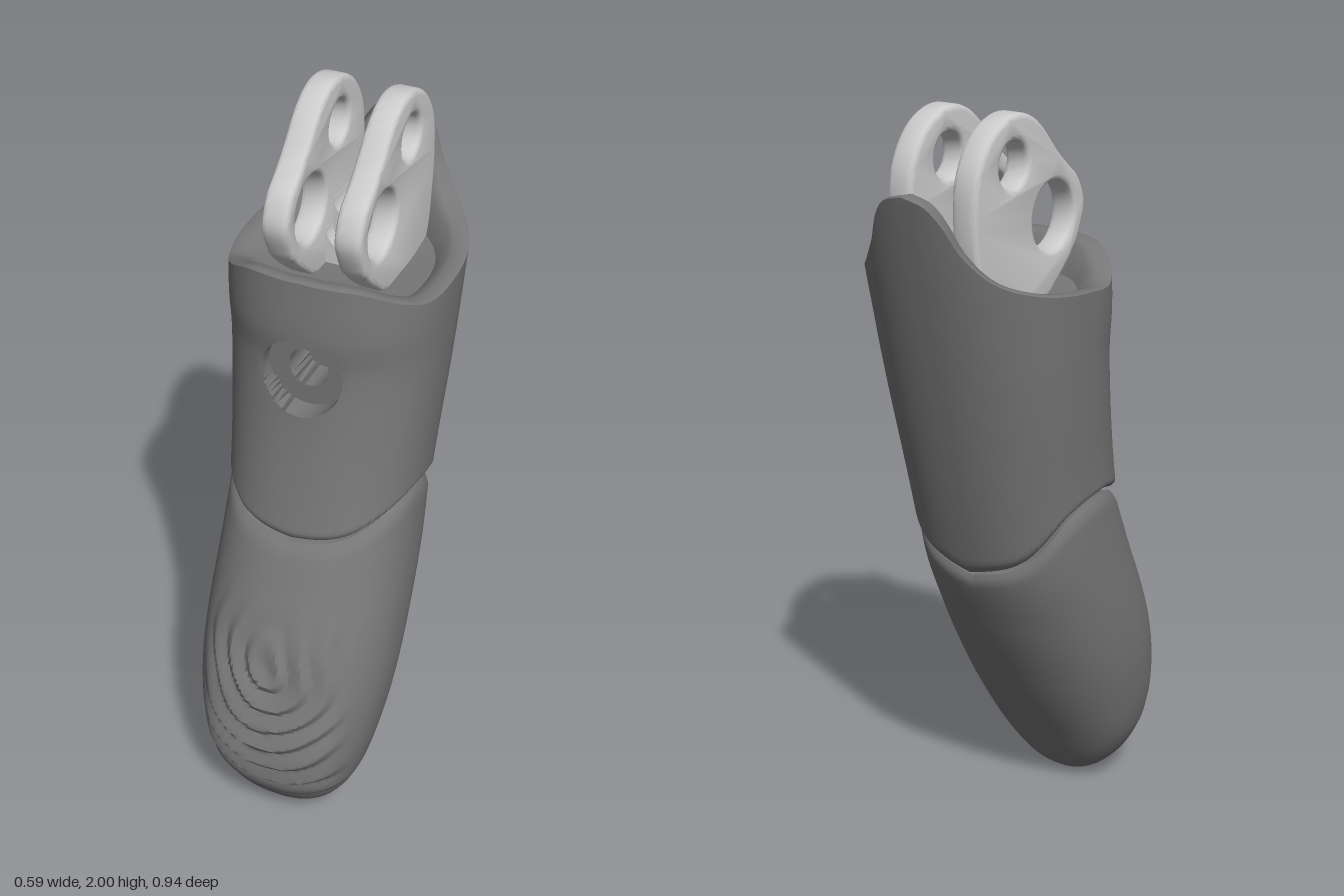
import * as THREE from 'three';
import { toCreasedNormals, mergeVertices } from 'three/addons/utils/BufferGeometryUtils.js';

// Smooth height-to-value function through [key, value] pairs
function smoothTable(pts, map = (k) => k) {
  const k = pts.map((p) => map(p[0])), v = pts.map((p) => p[1]), n = k.length - 1;
  const slope = (i) => {
    const a = Math.max(i - 1, 0), b = Math.min(i + 1, n);
    return (v[b] - v[a]) / (k[b] - k[a]);
  };
  return (key) => {
    const x = THREE.MathUtils.clamp(map(key), k[0], k[n]);
    let i = 0;
    while (i < n - 1 && x > k[i + 1]) i++;
    const h = k[i + 1] - k[i], t = (x - k[i]) / h, t2 = t * t, t3 = t2 * t;
    return (2 * t3 - 3 * t2 + 1) * v[i] + (t3 - 2 * t2 + t) * h * slope(i)
      + (3 * t2 - 2 * t3) * v[i + 1] + (t3 - t2) * h * slope(i + 1);
  };
}

// Closed skin through rings; point(angle, row) gives each vertex, angle 0 is the front
function loft(segments, rows, point) {
  const pos = [], index = [];
  for (let j = 0; j < rows; j++) {
    for (let i = 0; i < segments; i++) pos.push(...point((i / segments) * Math.PI * 2, j));
  }
  for (let j = 0; j < rows - 1; j++) {
    for (let i = 0; i < segments; i++) {
      const a = j * segments + i, b = j * segments + (i + 1) % segments;
      index.push(a, b, b + segments, a, b + segments, a + segments);
    }
  }
  const g = new THREE.BufferGeometry();
  g.setAttribute('position', new THREE.Float32BufferAttribute(pos, 3));
  g.setIndex(index);
  return toCreasedNormals(mergeVertices(g, 1e-5), 0.6);
}

// Rounded cross-section at a height, from front, back and half-width tables
function section(front, back, width, a, y, k = 1) {
  const f = front(y), b = back(y), s = Math.sin(a), c = Math.cos(a);
  const r = (t) => Math.sign(t) * Math.abs(t) ** 0.87;
  return [width(y) * r(s) * k, y, (f + b) / 2 + ((f - b) / 2) * r(c) * k];
}

const degrees = (a) => (a > Math.PI ? 2 * Math.PI - a : a) * 180 / Math.PI;
const seam = smoothTable([[0, 0.89], [30, 0.91], [65, 0.97], [85, 0.985], [110, 0.95], [145, 0.83], [180, 0.775]]);
const rim = smoothTable([[0, 1.63], [27, 1.62], [50, 1.58], [68, 1.555], [90, 1.565], [120, 1.59],
  [142, 1.63], [156, 1.7], [163, 1.77], [170, 1.815], [180, 1.835]]);

function sleeveGeometry() {
  const front = smoothTable([[0.78, 0.295], [0.89, 0.27], [1.1, 0.225], [1.25, 0.2], [1.38, 0.188], [1.48, 0.195], [1.63, 0.185]]);
  const back = smoothTable([[0.78, -0.22], [1, -0.275], [1.4, -0.37], [1.83, -0.47]]);
  const width = smoothTable([[0.78, 0.262], [1, 0.265], [1.3, 0.282], [1.6, 0.296], [1.83, 0.29]]);
  const wall = 72, mid = -0.12;
  // top lip and hollow: [scale, fraction from rim to floor, rise]
  const hollow = [[0.97, 0, 0.004], [0.87, 0, 0], [0.82, 0.12, 0], [0.72, 0.85, 0], [0.5, 1, 0], [0, 1, 0]];
  const holeY = 1.355, outer = 0.11, inner = 0.055;
  return loft(240, wall + 2 + hollow.length, (a, row) => {
    const d = degrees(a), low = seam(d) + 0.006, top = rim(d);
    if (row === 0) return [0, 0.9, 0];
    if (row > wall + 1) {
      const [k, drop, rise] = hollow[row - wall - 2];
      const p = section(front, back, width, a, top);
      return [p[0] * k, THREE.MathUtils.lerp(top + rise, 1.52, drop), mid + (p[2] - mid) * k];
    }
    const t = (row - 1) / wall, y = THREE.MathUtils.lerp(low, top, t);
    const p = section(front, back, width, a, y, 1 - 0.05 * Math.max(0, 1 - t / 0.03) ** 2);
    // stepped screw hole in the front
    const r = Math.hypot(p[0], y - holeY);
    if (d < 90 && r < outer + 0.009) {
      for (const edge of [outer, inner]) {
        if (Math.abs(r - edge) < 0.009) {
          p[0] *= edge / r;
          p[1] = holeY + (y - holeY) * edge / r;
        }
      }
      if (r < inner) p[2] = 0.04;
      else if (r < outer) p[2] = 0.135;
    }
    return p;
  });
}

function fingertipGeometry() {
  const root = Math.sqrt;
  const front = smoothTable([[0, 0.27], [0.03, 0.345], [0.1, 0.405], [0.2, 0.45], [0.3, 0.468], [0.45, 0.452],
    [0.6, 0.405], [0.8, 0.312], [0.9, 0.265], [0.99, 0.225]], root);
  const back = smoothTable([[0, 0.27], [0.03, 0.21], [0.1, 0.157], [0.2, 0.092], [0.4, -0.03], [0.6, -0.135], [0.78, -0.212], [0.99, -0.25]], root);
  const width = smoothTable([[0, 0], [0.03, 0.1], [0.1, 0.172], [0.2, 0.222], [0.4, 0.26], [0.6, 0.268], [0.99, 0.259]], root);
  const wall = 100;
  return loft(200, wall + 2, (a, row) => {
    const d = degrees(a), top = seam(d) - 0.006;
    if (row > wall) return [0, 0.9, 0];
    const t = row / wall, y = top * t ** 1.5;
    const p = section(front, back, width, a, y, 1 - 0.05 * Math.max(0, 1 - (1 - t) / 0.03) ** 2);
    // nested fingerprint ridges on the pad
    const dy = y - 0.56;
    const radius = Math.hypot(p[0] + 0.012 * Math.sin(y * 23), dy * (dy > 0 ? 0.5 : 0.95));
    const fade = THREE.MathUtils.smoothstep;
    const mask = d < 90 ? fade(0.23 - Math.abs(p[0]), 0, 0.07) * fade(y, 0.1, 0.2) * (1 - fade(y, 0.55, 0.76)) : 0;
    const wave = (radius / 0.062) % 1;
    p[2] += mask * 0.018 * ((wave < 0.7 ? wave / 0.7 : (1 - wave) / 0.3) - 0.6);
    return p;
  });
}

// Two-lobed hinge plate with a large and a small pin hole, drawn in z and y
function hingePlateGeometry() {
  const outline = [[0.09, 1.63], [0.125, 1.72], [0.1, 1.795], [0.05, 1.84], [0, 1.885], [-0.06, 1.95], [-0.12, 1.99],
    [-0.19, 2], [-0.27, 1.97], [-0.33, 1.9], [-0.353, 1.81], [-0.345, 1.65], [-0.29, 1.5], [-0.08, 1.5], [0.02, 1.56]];
  const curve = new THREE.SplineCurve([...outline, outline[0]].map((p) => new THREE.Vector2(...p)));
  const shape = new THREE.Shape(curve.getPoints(60).slice(0, -1));
  for (const [z, y, r] of [[-0.018, 1.718, 0.09], [-0.19, 1.877, 0.06]]) {
    shape.holes.push(new THREE.Path().absarc(z, y, r, 0, Math.PI * 2, true));
  }
  const g = new THREE.ExtrudeGeometry(shape, {
    depth: 0.045, bevelSize: 0.014, bevelOffset: -0.014, bevelThickness: 0.014, bevelSegments: 3, curveSegments: 16,
  });
  g.rotateY(-Math.PI / 2);
  g.translate(0.0225, 0, 0);
  return toCreasedNormals(g, 0.6);
}

// Trough-shaped web joining the plates
function webGeometry(length) {
  const s = new THREE.Shape();
  s.moveTo(-0.07, 1.51);
  s.lineTo(0.07, 1.51);
  s.lineTo(0.07, 1.68);
  s.lineTo(0.06, 1.68);
  s.absarc(0, 1.68, 0.06, 0, -Math.PI, true);
  s.lineTo(-0.07, 1.68);
  return toCreasedNormals(new THREE.ExtrudeGeometry(s, { depth: length, bevelEnabled: false, curveSegments: 20 }), 0.6);
}

export function createModel() {
  const model = new THREE.Group();
  const dark = new THREE.MeshStandardMaterial({ color: 0x777777 });
  const light = new THREE.MeshStandardMaterial({ color: 0xcccccc });
  const add = (name, geometry, material, x = 0, y = 0, z = 0) => {
    const mesh = new THREE.Mesh(geometry, material);
    mesh.name = name;
    mesh.position.set(x, y, z);
    model.add(mesh);
  };

  add('fingertip', fingertipGeometry(), dark);
  add('sleeve', sleeveGeometry(), dark);

  const plate = hingePlateGeometry();
  add('leftHingePlate', plate, light, 0.0975);
  add('rightHingePlate', plate, light, -0.0975);
  add('rearWeb', webGeometry(0.19), light, 0, 0, -0.34);
  add('frontWeb', webGeometry(0.04), light, 0, -0.06, -0.14);
  return model;
}
